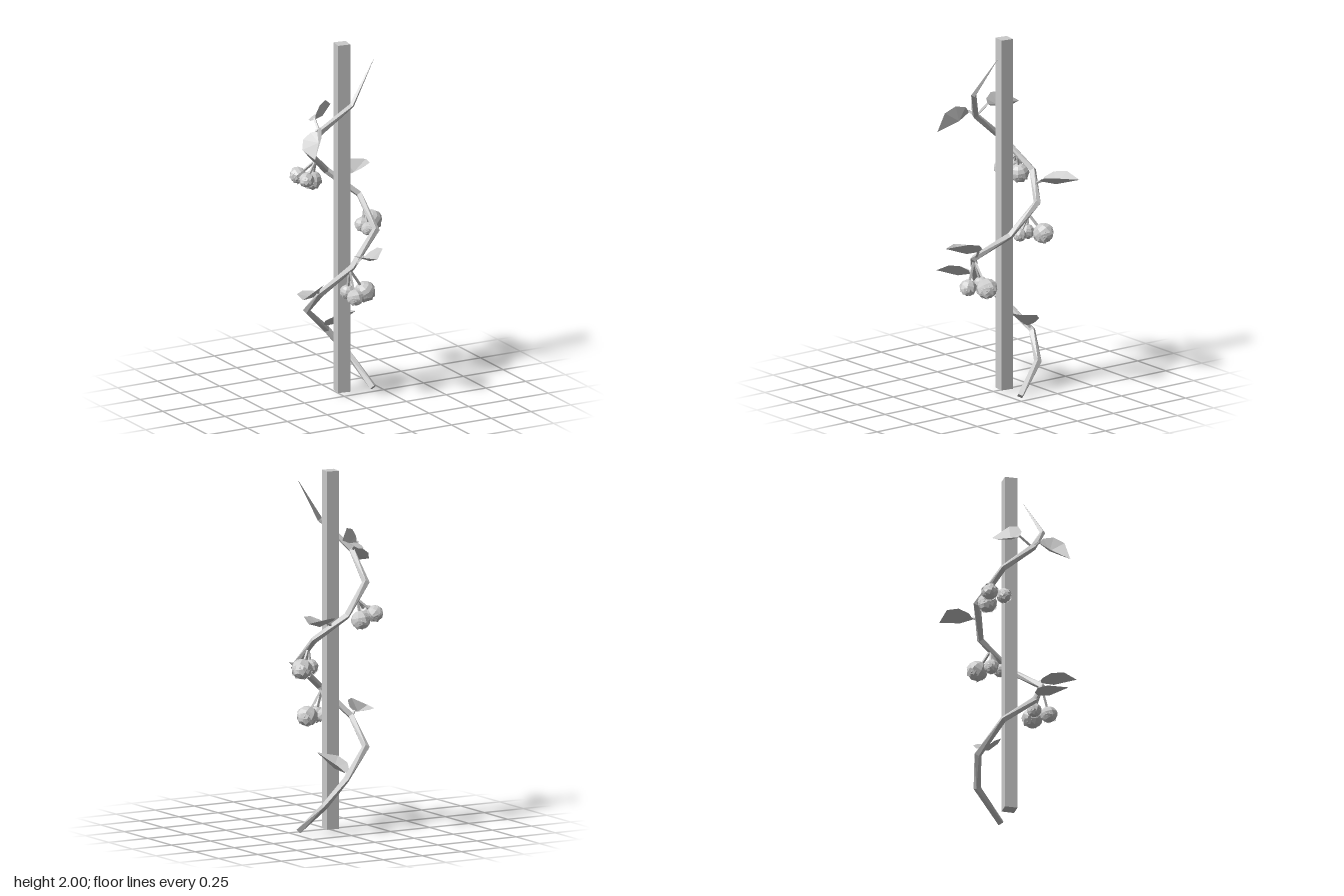
import * as THREE from 'three';

const V = (x, y, z) => new THREE.Vector3(x, y, z);
const UP = V(0, 1, 0);
const AXIS = { x: 0.02, z: -0.06 };
const material = new THREE.MeshStandardMaterial({ color: 0xcccccc, flatShading: true, side: THREE.DoubleSide });

function addMesh(parent, name, geometry) {
  const mesh = new THREE.Mesh(geometry, material);
  mesh.name = name;
  parent.add(mesh);
  return mesh;
}

function surface(points, index) {
  const g = new THREE.BufferGeometry().setFromPoints(points);
  g.setIndex(index);
  g.computeVertexNormals();
  return g;
}

// Square-section stalk, mitred at every bend; flattened frame follows the post axis
function vineGeometry(path, radii, sides = 4) {
  const points = [], index = [];
  path.forEach((p, i) => {
    const t = path[Math.min(i + 1, path.length - 1)].clone().sub(path[Math.max(i - 1, 0)]).normalize();
    const out = V(p.x - AXIS.x, 0, p.z - AXIS.z);
    out.addScaledVector(t, -out.dot(t)).normalize();
    const across = t.clone().cross(out);
    for (let j = 0; j < sides; j++) {
      const a = (j / sides) * Math.PI * 2;
      points.push(p.clone()
        .addScaledVector(out, Math.cos(a) * radii[i] * 1.12)
        .addScaledVector(across, Math.sin(a) * radii[i]));
      if (i === path.length - 1) continue;
      const k = (j + 1) % sides, r = i * sides, s = r + sides;
      index.push(r + j, r + k, s + j, r + k, s + k, s + j);
    }
  });
  index.push(0, 2, 1, 0, 3, 2);
  return surface(points, index);
}

// Thin straight stem between two points
function addStem(parent, name, from, to, radius) {
  const d = to.clone().sub(from);
  const stem = addMesh(parent, name, new THREE.CylinderGeometry(radius, radius, d.length(), 4));
  stem.position.copy(from).lerp(to, 0.5);
  stem.quaternion.setFromUnitVectors(UP, d.normalize());
}

// Cupped heart-shaped leaf: a low centre point fanned to a raised rim
function leafGeometry(base, tip, normal) {
  const along = tip.clone().sub(base), size = along.length();
  along.normalize();
  const n = normal.clone().addScaledVector(along, -normal.dot(along)).normalize();
  const side = n.clone().cross(along);
  const half = [[0.0, 0.17, 0.05], [0.2, 0.35, 0.14], [0.54, 0.37, 0.14]];
  const rim = [[0, 0, -0.03], ...half, [1, 0, 0], ...half.map(([u, w, h]) => [u, -w, h]).reverse()];
  const points = [[0.36, 0, -0.1], ...rim].map(([u, w, h]) => base.clone()
    .addScaledVector(along, u * size).addScaledVector(side, w * size).addScaledVector(n, h * size));
  const index = [];
  for (let i = 0; i < rim.length; i++) index.push(0, 1 + ((i + 1) % rim.length), 1 + i);
  return surface(points, index);
}

// Dome of bracts, open below, with a zigzag rim
function bractGeometry(radius, sweep, jag) {
  const sides = 8, rows = 4;
  const g = new THREE.SphereGeometry(radius, sides, rows, 0, Math.PI * 2, 0, sweep);
  const p = g.attributes.position;
  for (let i = 0; i <= sides; i++) {
    const k = rows * (sides + 1) + i;
    p.setY(k, p.getY(k) + (i % 2 ? jag : -jag) * radius);
  }
  g.computeVertexNormals();
  return g;
}

// Hanging bud: overlapping domes around a core, tilted along its stem
function addBud(parent, anchor, centre, radius) {
  const bud = new THREE.Group();
  bud.name = 'bud';
  addMesh(bud, 'outerBracts', bractGeometry(radius, 1.65, 0.14));
  addMesh(bud, 'middleBracts', bractGeometry(radius * 0.93, 2.05, 0.1)).rotation.y = 0.4;
  addMesh(bud, 'innerBracts', bractGeometry(radius * 0.88, 2.5, 0.07));
  addMesh(bud, 'core', new THREE.SphereGeometry(radius * 0.82, 7, 5));
  bud.position.copy(centre);
  const dir = anchor.clone().sub(centre).normalize();
  bud.quaternion.setFromUnitVectors(UP, dir);
  parent.add(bud);
  addStem(parent, 'budStem', anchor, centre.clone().addScaledVector(dir, radius * 0.9), 0.008);
}

export function createModel() {
  const model = new THREE.Group();
  model.name = 'climbingVine';

  // Square post
  const post = addMesh(model, 'post', new THREE.BoxGeometry(0.071, 1.99, 0.071));
  post.position.set(AXIS.x, 1.005, AXIS.z);
  post.rotation.y = -0.15;

  // Vine winding around the post in six steps per turn
  const path = [
    [0.2, 0.01, -0.03], [0.14, 0.165, -0.2], [0.03, 0.31, -0.245], [-0.14, 0.465, -0.17],
    [-0.155, 0.61, 0.01], [-0.02, 0.77, 0.12], [0.185, 0.93, 0.025], [0.185, 1.085, -0.16],
    [0.03, 1.22, -0.25], [-0.14, 1.38, -0.17], [-0.155, 1.535, 0.005], [-0.02, 1.7, 0.12],
    [0.14, 1.93, 0.08],
  ].map((p) => V(...p));
  const radii = path.map((_, i) => (i === 12 ? 0.001 : i === 11 ? 0.014 : 0.019));
  addMesh(model, 'vine', vineGeometry(path, radii));

  // Leaves: point on the vine, leaf base, leaf tip, facing direction
  [
    [[0.03, 0.31, -0.245], [0.02, 0.345, -0.225], [0.12, 0.445, -0.085], [-0.45, 0.6, -0.6]],
    [[-0.155, 0.6, 0.005], [-0.18, 0.635, 0.02], [-0.335, 0.635, 0.135], [-0.15, 0.9, -0.3]],
    [[-0.01, 0.77, 0.115], [0.045, 0.83, 0.135], [0.015, 0.87, 0.342], [-0.2, 1, 0]],
    [[0.1, 1.165, -0.21], [0.145, 1.19, -0.225], [0.33, 1.215, -0.342], [0, 1, 0]],
    [[-0.155, 1.53, 0], [-0.145, 1.59, -0.075], [0.01, 1.625, -0.17], [-0.45, 0.6, -0.6]],
    [[-0.155, 1.535, 0.005], [-0.19, 1.555, 0.025], [-0.28, 1.44, 0.17], [-0.7, 0.6, -0.1]],
  ].forEach((row) => {
    const [joint, base, tip, normal] = row.map((p) => V(...p));
    const leaf = new THREE.Group();
    leaf.name = 'leaf';
    addStem(leaf, 'leafStem', joint, base, 0.008);
    addMesh(leaf, 'leafBlade', leafGeometry(base, tip, normal));
    model.add(leaf);
  });

  // Bud clusters: point on the vine, then centre and radius of each bud
  [
    [[-0.03, 0.76, 0.11], [[0.075, 0.61, 0.1, 0.062], [-0.02, 0.615, 0.07, 0.043], [-0.02, 0.605, 0.16, 0.05]]],
    [[0.185, 1.03, -0.1], [[0.258, 0.925, -0.15, 0.062], [0.17, 0.925, -0.1, 0.045], [0.175, 0.915, -0.045, 0.04]]],
    [[-0.06, 1.3, -0.21], [[-0.15, 1.215, -0.255, 0.05], [-0.07, 1.18, -0.235, 0.057], [-0.145, 1.21, -0.165, 0.045]]],
  ].forEach(([joint, buds]) => {
    const cluster = new THREE.Group();
    cluster.name = 'budCluster';
    buds.forEach(([x, y, z, r]) => addBud(cluster, V(...joint), V(x, y, z), r));
    model.add(cluster);
  });

  return model;
}
